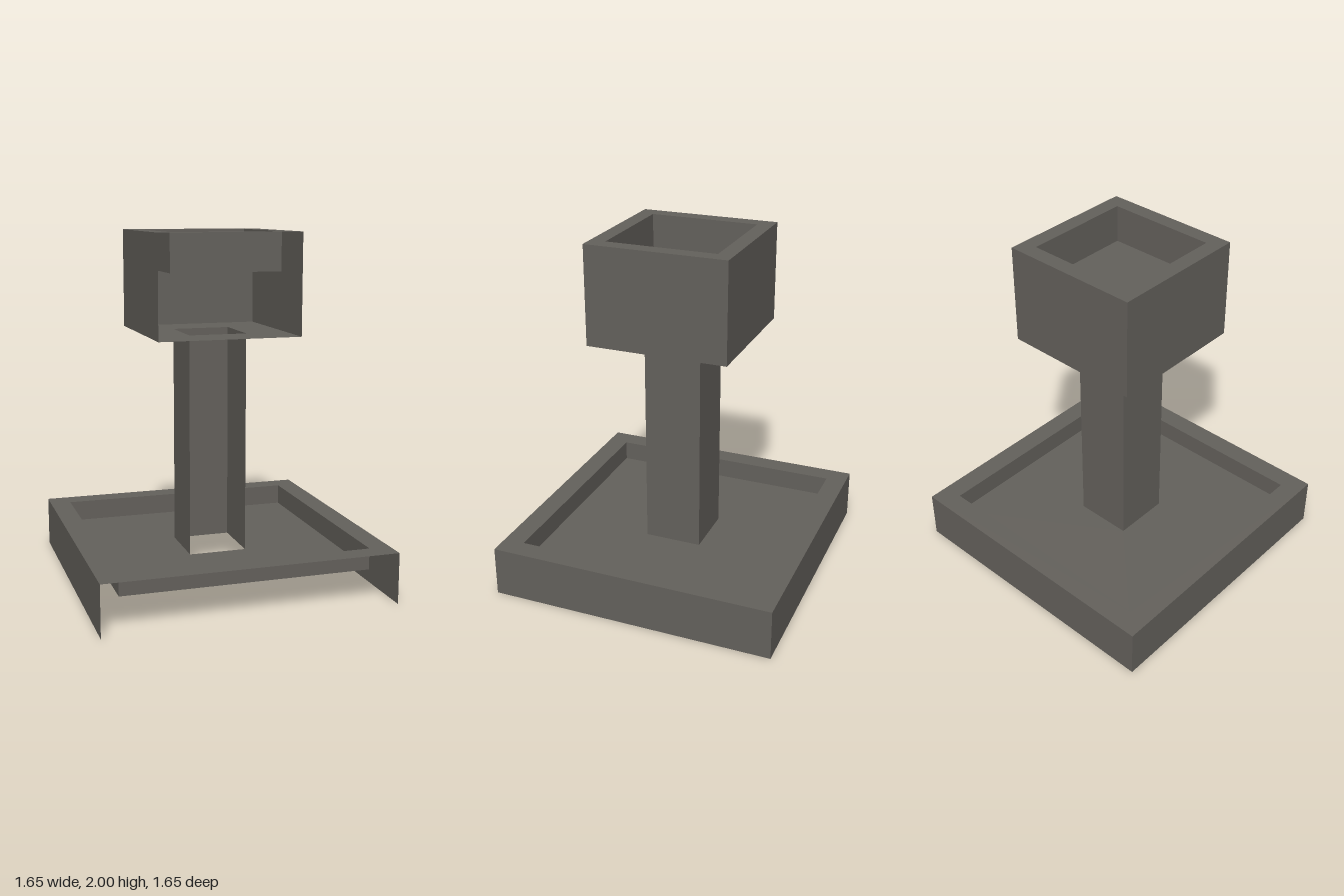
import * as THREE from 'three';

const stone = new THREE.MeshStandardMaterial({ color: 0x64615c, side: THREE.DoubleSide });
stone.name = 'dark stone';

// Horizontal square sheet facing up, with an optional square hole
function sheet(name, half, y, hole = 0) {
  const square = (Type, h) => {
    const s = new Type();
    s.moveTo(-h, -h).lineTo(h, -h).lineTo(h, h).lineTo(-h, h).closePath();
    return s;
  };
  const shape = square(THREE.Shape, half);
  if (hole) shape.holes.push(square(THREE.Path, hole));
  const mesh = new THREE.Mesh(new THREE.ShapeGeometry(shape).rotateX(-Math.PI / 2), stone);
  mesh.position.y = y;
  mesh.name = name;
  return mesh;
}

// Upright walls of a square shaft; side 0 is the front, then left, back, right
function walls(name, half, y0, y1, sides, inward = false) {
  const group = new THREE.Group();
  group.name = name;
  for (const side of sides) {
    const geometry = new THREE.PlaneGeometry(half * 2, y1 - y0);
    if (inward) geometry.rotateY(Math.PI);
    geometry.translate(0, (y0 + y1) / 2, half).rotateY(side * Math.PI / 2);
    const mesh = new THREE.Mesh(geometry, stone);
    mesh.name = name + 'Panel';
    group.add(mesh);
  }
  return group;
}

export function createModel() {
  const model = new THREE.Group();
  model.name = 'pedestal';
  const openFront = [1, 2, 3];
  const allSides = [0, 1, 2, 3];

  // Base: open underneath and at the front, with a sunken tray
  const base = new THREE.Group();
  base.name = 'base';
  base.add(
    walls('baseWall', 0.823, 0, 0.29, openFront),
    sheet('baseRim', 0.823, 0.29, 0.702),
    walls('baseTrayWall', 0.702, 0.17, 0.29, allSides, true),
    sheet('baseTrayFloor', 0.702, 0.17, 0.166),
  );

  // Column: hollow, open at the front
  const column = walls('column', 0.166, 0.17, 1.432, openFront);

  // Head: hollow box open at the front, with a basin sunk in the top
  const head = new THREE.Group();
  head.name = 'head';
  head.add(
    sheet('headBottom', 0.404, 1.432, 0.166),
    walls('headWall', 0.404, 1.432, 2, openFront),
    sheet('headRim', 0.404, 2, 0.315),
    walls('basinWall', 0.315, 1.784, 2, allSides, true),
    sheet('basinFloor', 0.315, 1.784),
  );

  model.add(base, column, head);
  return model;
}
